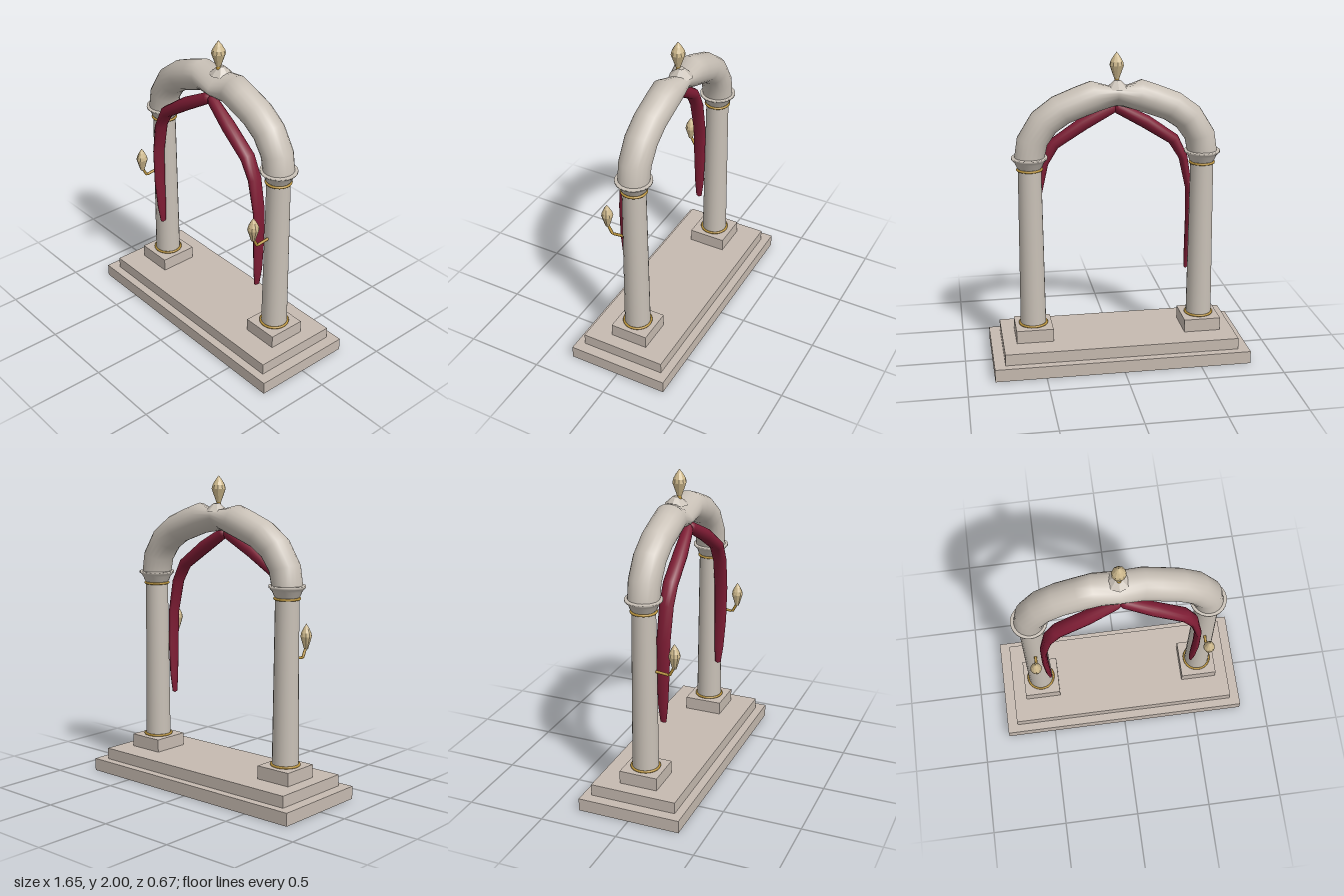
import * as THREE from 'three';

const mat = (name, color, flat = false) => {
  const m = new THREE.MeshStandardMaterial({ color, flatShading: flat });
  m.name = name;
  return m;
};

// Loft through elliptical rings. Station: [x, y, z, outward angle (deg), radius outward, radius in z, skew]
function loft(stations, sides) {
  const pos = [], idx = [];
  for (const [x, y, z, deg, ra, rz, skew = 0] of stations) {
    const a = THREE.MathUtils.degToRad(deg);
    for (let j = 0; j < sides; j++) {
      const t = (j / sides) * Math.PI * 2;
      const u = ra * Math.cos(t), w = rz * Math.sin(t);
      pos.push(x + u * Math.cos(a), y + u * Math.sin(a) - skew * w, z + w);
    }
  }
  for (let i = 0; i < stations.length - 1; i++) {
    for (let j = 0; j < sides; j++) {
      const k = (j + 1) % sides;
      const a = i * sides + j, b = i * sides + k, c = a + sides, d = b + sides;
      idx.push(a, c, b, b, c, d);
    }
  }
  const g = new THREE.BufferGeometry();
  g.setAttribute('position', new THREE.Float32BufferAttribute(pos, 3));
  g.setIndex(idx);
  g.computeVertexNormals();
  return g;
}

const mirror = (stations) =>
  stations.map(([x, y, z, deg, ...rest]) => [-x, y, z, 180 - deg, ...rest]).reverse();

const lathe = (points, sides) =>
  new THREE.LatheGeometry(points.map(([r, y]) => new THREE.Vector2(r, y)), sides);

export function createModel() {
  const group = new THREE.Group();
  const baseStone = mat('base stone', 0xc6bab0);
  const stone = mat('stone', 0xc8c0b6);
  const gold = mat('gold', 0xb8923c);
  const cloth = mat('crimson cloth', 0x7e1c34);
  const lamp = mat('pale brass', 0xcdb88c, true);

  const add = (name, geo, material, x = 0, y = 0, z = 0) => {
    const m = new THREE.Mesh(geo, material);
    m.name = name;
    m.position.set(x, y, z);
    group.add(m);
    return m;
  };

  // Stepped base
  add('lowerStep', new THREE.BoxGeometry(1.65, 0.082, 0.666), baseStone, 0, 0.041, 0);
  add('upperStep', new THREE.BoxGeometry(1.51, 0.074, 0.56), baseStone, 0, 0.119, 0);

  // Bud shape shared by the finial and the lanterns, height 1, radius 1
  const bud = (r, h) => lathe(
    [[0, 0], [0.35, 0], [1, 0.5], [0.88, 0.64], [0.5, 0.82], [0, 1]].map(([a, b]) => [a * r, b * h]), 10);

  // Hanging drape, from the hem up to the apex
  const drape = [
    [0.475, 0.525, 0.09, 0, 0.001, 0.001],
    [0.477, 0.535, 0.09, 0, 0.011, 0.02],
    [0.485, 0.65, 0.092, 0, 0.018, 0.033],
    [0.493, 0.85, 0.097, 0, 0.021, 0.041],
    [0.49, 1.08, 0.099, 5, 0.021, 0.045],
    [0.45, 1.29, 0.102, 17, 0.029, 0.047],
    [0.385, 1.41, 0.102, 42, 0.038, 0.048],
    [0.2, 1.535, 0.09, 58, 0.043, 0.046],
    [0.02, 1.635, 0.065, 62, 0.036, 0.034],
    [0, 1.645, 0.065, 62, 0.022, 0.02],
    [0, 1.645, 0.065, 62, 0.001, 0.001],
  ];

  for (const s of [1, -1]) {
    const x = 0.55 * s;
    // Column
    add('plinth', new THREE.BoxGeometry(0.238, 0.084, 0.248), baseStone, x, 0.198, 0);
    add('columnShaft', new THREE.CylinderGeometry(0.073, 0.083, 1.06, 20), stone, x, 0.77, 0);
    add('capital', lathe([[0.07, 1.285], [0.08, 1.295], [0.092, 1.325], [0.108, 1.343],
      [0.114, 1.348], [0.114, 1.36], [0, 1.361]], 24), stone, x);
    for (const [r, y] of [[0.087, 0.248], [0.076, 1.28]]) {
      add('goldRing', new THREE.TorusGeometry(r, 0.008, 8, 28), gold, x, y, 0).rotation.x = Math.PI / 2;
    }
    // Wall lantern on a bent arm
    const arm = new THREE.CurvePath();
    const p = [[0.903, 0.07], [0.893, 0.163], [0.955, 0.195]].map(([y, z]) => new THREE.Vector3(0, y, z));
    arm.add(new THREE.LineCurve3(p[0], p[1]));
    arm.add(new THREE.LineCurve3(p[1], p[2]));
    add('lanternArm', new THREE.TubeGeometry(arm, 12, 0.009, 8), gold, x);
    add('lantern', bud(0.037, 0.16), lamp, x, 0.942, 0.195);
    // Drape
    add('drape', loft(s > 0 ? drape : mirror(drape), 12), cloth);
  }

  // Arch, pinched at the apex
  const side = [
    [0.55, 1.35, 0, 0, 0.095, 0.097],
    [0.53, 1.46, 0, 15, 0.097, 0.099],
    [0.455, 1.575, 0, 40, 0.097, 0.1],
    [0.35, 1.65, 0, 57, 0.097, 0.1],
    [0.22, 1.70, 0, 68, 0.097, 0.1],
    [0.135, 1.73, 0, 75, 0.097, 0.1],
  ];
  const apex = [0, 1.72, 0, 90, 0.055, 0.088, 0.4];
  add('arch', loft([...side, apex, ...mirror(side)], 20), stone);

  // Crest and finial
  const crest = new THREE.CylinderGeometry(0.02, 0.075, 0.05, 8);
  add('crest', crest, mat('crest stone', 0xc8c0b6, true), 0, 1.803, -0.02);
  add('finialStem', new THREE.CylinderGeometry(0.012, 0.018, 0.07, 10), gold, 0, 1.81, 0);
  add('finial', bud(0.045, 0.165), lamp, 0, 1.835, 0);

  return group;
}
